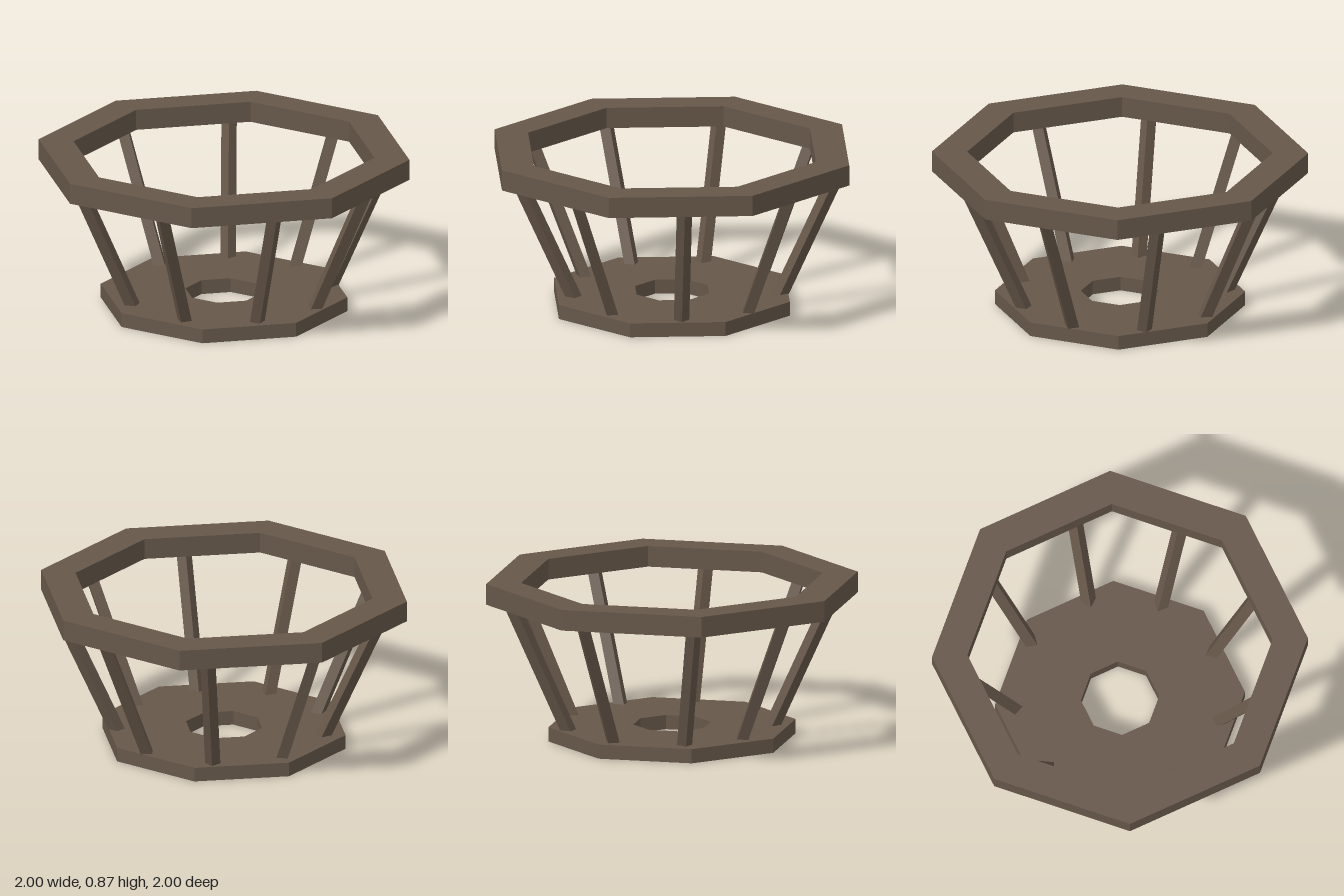
import * as THREE from 'three';

export function createModel() {
  const group = new THREE.Group();
  const wood = new THREE.MeshStandardMaterial({ color: 0x665749 });
  wood.name = 'dark wood';

  // Octagon with corners on the axes
  const octagon = (r, PathType) => new PathType(
    Array.from({ length: 8 }, (_, i) =>
      new THREE.Vector2(r * Math.cos(i * Math.PI / 4), r * Math.sin(i * Math.PI / 4))));

  // Flat octagonal plate with an octagonal hole
  function addPlate(name, outer, inner, y0, y1) {
    const shape = octagon(outer, THREE.Shape);
    shape.holes.push(octagon(inner, THREE.Path));
    const geometry = new THREE.ExtrudeGeometry(shape, { depth: y1 - y0, bevelEnabled: false });
    geometry.rotateX(-Math.PI / 2);
    const mesh = new THREE.Mesh(geometry, wood);
    mesh.name = name;
    mesh.position.y = y0;
    group.add(mesh);
  }

  addPlate('base', 0.665, 0.208, 0, 0.077);
  addPlate('topRing', 1, 0.812, 0.755, 0.867);

  // Square struts leaning outward, one edge turned to the centre
  const bottom = new THREE.Vector2(0.542, 0.04);
  const top = new THREE.Vector2(0.878, 0.785);
  const run = top.clone().sub(bottom);
  const strutGeometry = new THREE.CylinderGeometry(0.041, 0.041, run.length(), 4).toNonIndexed();
  strutGeometry.computeVertexNormals();
  strutGeometry.rotateZ(-Math.atan2(run.x, run.y));
  strutGeometry.translate((bottom.x + top.x) / 2, (bottom.y + top.y) / 2, 0);

  // The struts stand slightly off centre and unevenly spaced
  const struts = new THREE.Group();
  struts.name = 'struts';
  struts.position.set(0.01, 0, -0.02);
  for (let i = 0; i < 9; i++) {
    const strut = new THREE.Mesh(strutGeometry, wood);
    strut.name = 'strut';
    strut.rotation.y = -THREE.MathUtils.degToRad(180 + 40.5 * i);
    struts.add(strut);
  }
  group.add(struts);
  return group;
}
